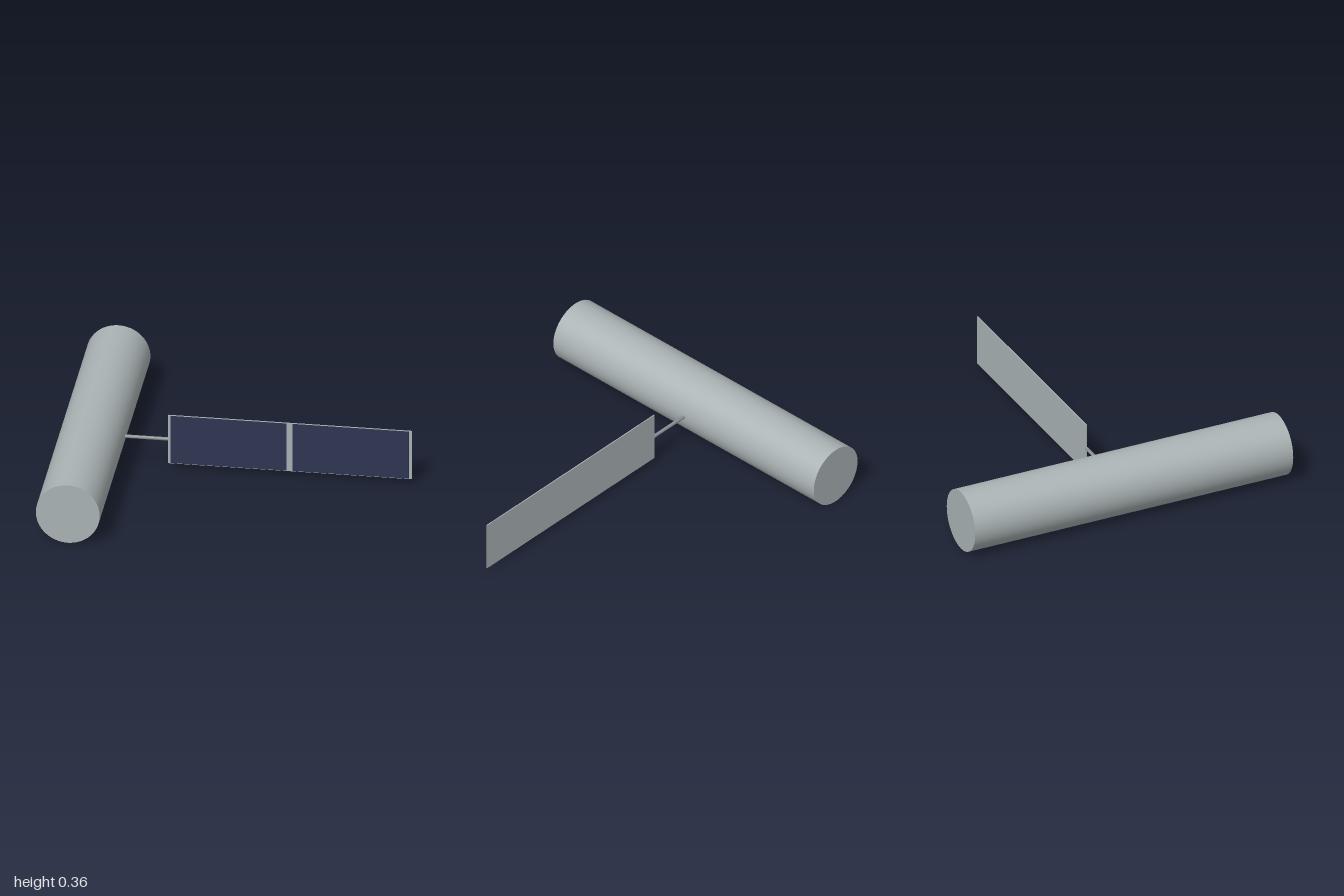
import * as THREE from 'three';

export function createModel() {
  const model = new THREE.Group();
  const grey = new THREE.MeshStandardMaterial({ color: 0xaab3b4 });
  grey.name = 'hull grey';
  const darkGrey = new THREE.MeshStandardMaterial({ color: 0x8a9092 });
  darkGrey.name = 'boom grey';
  const navy = new THREE.MeshStandardMaterial({ color: 0x2e3652 });
  navy.name = 'solar cell navy';

  const R = 0.182; // hull radius, also the height of the central axis

  function add(name, geometry, material, x, y, z) {
    const mesh = new THREE.Mesh(geometry, material);
    mesh.name = name;
    mesh.position.set(x, y, z);
    model.add(mesh);
    return mesh;
  }

  // Long cylindrical hull lying along z
  add('hull', new THREE.CylinderGeometry(R, R, 2, 64).rotateX(Math.PI / 2), grey, -1 + R, R, 0);

  // Thin boom from the hull to the panel
  add('boom', new THREE.CylinderGeometry(0.01, 0.01, 0.27, 16).rotateZ(Math.PI / 2), darkGrey, -0.525, R, 0);

  // Panel backing plate
  add('panel', new THREE.BoxGeometry(1.392, 0.304, 0.006), grey, 0.304, R, 0);

  // Two solar cell fields on the front of the panel
  for (const side of [-1, 1]) {
    const name = side < 0 ? 'innerSolarCells' : 'outerSolarCells';
    add(name, new THREE.BoxGeometry(0.663, 0.298, 0.002), navy, 0.302 + side * 0.348, R, 0.0035);
  }

  return model;
}
